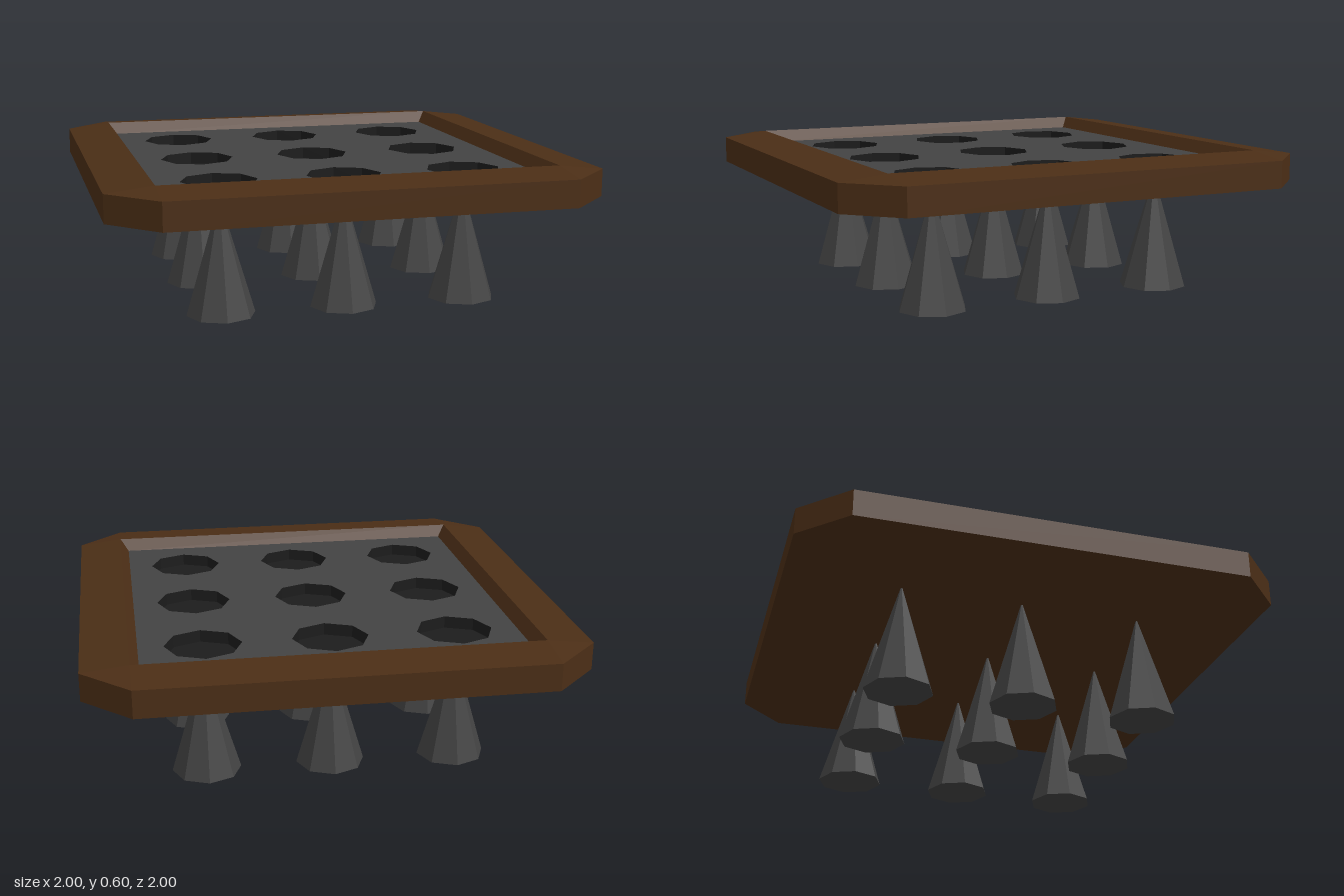
import * as THREE from 'three';

const mat = (color, extra = {}) =>
  new THREE.MeshStandardMaterial({ color, flatShading: true, ...extra });

// Skin consecutive loops of a square with cut corners: [half width, cut start, y]
function skinLoops(sections) {
  const loops = sections.map(([h, c, y]) =>
    [[h, c], [c, h], [-c, h], [-h, c], [-h, -c], [-c, -h], [c, -h], [h, -c]]
      .map(([x, z]) => [x, y, z]));
  const pos = [];
  for (let i = 0; i < loops.length - 1; i++) {
    for (let j = 0; j < 8; j++) {
      const k = (j + 1) % 8;
      const a = loops[i][j], b = loops[i][k], d = loops[i + 1][j], e = loops[i + 1][k];
      pos.push(...a, ...d, ...b, ...b, ...d, ...e);
    }
  }
  const geo = new THREE.BufferGeometry();
  geo.setAttribute('position', new THREE.Float32BufferAttribute(pos, 3));
  geo.computeVertexNormals();
  return geo;
}

export function createModel() {
  const group = new THREE.Group();
  const wood = mat(0x4b2e16);
  const metal = mat(0x434343);
  const dark = mat(0x1c1c1c, { side: THREE.DoubleSide });

  const add = (name, geo, material, x = 0, y = 0, z = 0) => {
    const mesh = new THREE.Mesh(geo, material);
    mesh.name = name;
    mesh.position.set(x, y, z);
    group.add(mesh);
    return mesh;
  };

  const bottomY = 0.465, panelY = 0.55, floorY = 0.5;
  const holeR = 0.157, spacing = 0.515, panelHalf = 0.775;

  // Wooden frame: flat underside, cut corners, sloped top and inner lip
  add('frame', skinLoops([
    [0, 0, bottomY],
    [1, 0.81, bottomY],
    [1, 0.81, 0.578],
    [0.81, 0.81, 0.6],
    [panelHalf, panelHalf, panelY],
  ]), wood);

  // Metal panel with a 3 x 3 grid of octagonal holes
  const p = panelHalf;
  const shape = new THREE.Shape([[-p, -p], [p, -p], [p, p], [-p, p]]
    .map(([x, y]) => new THREE.Vector2(x, y)));
  const wallGeo = new THREE.CylinderGeometry(holeR, holeR, panelY - floorY, 8, 1, true);
  const floorGeo = new THREE.CircleGeometry(holeR, 8).rotateX(-Math.PI / 2);
  const spikeH = 0.48;
  const spikeGeo = new THREE.ConeGeometry(0.142, spikeH, 8);

  for (const i of [-1, 0, 1]) {
    for (const j of [-1, 0, 1]) {
      const x = i * spacing, z = j * spacing;
      const ring = [];
      for (let k = 0; k < 8; k++) {
        const a = -k * Math.PI / 4;
        ring.push(new THREE.Vector2(x + holeR * Math.cos(a), -z + holeR * Math.sin(a)));
      }
      shape.holes.push(new THREE.Path(ring));

      // Recess lining and spike below it
      add('holeWall', wallGeo, dark, x, (panelY + floorY) / 2, z);
      add('holeFloor', floorGeo, dark, x, floorY, z);
      add('spike', spikeGeo, metal, x, spikeH / 2, z);
    }
  }
  add('panel', new THREE.ShapeGeometry(shape).rotateX(-Math.PI / 2), metal, 0, panelY, 0);

  return group;
}
